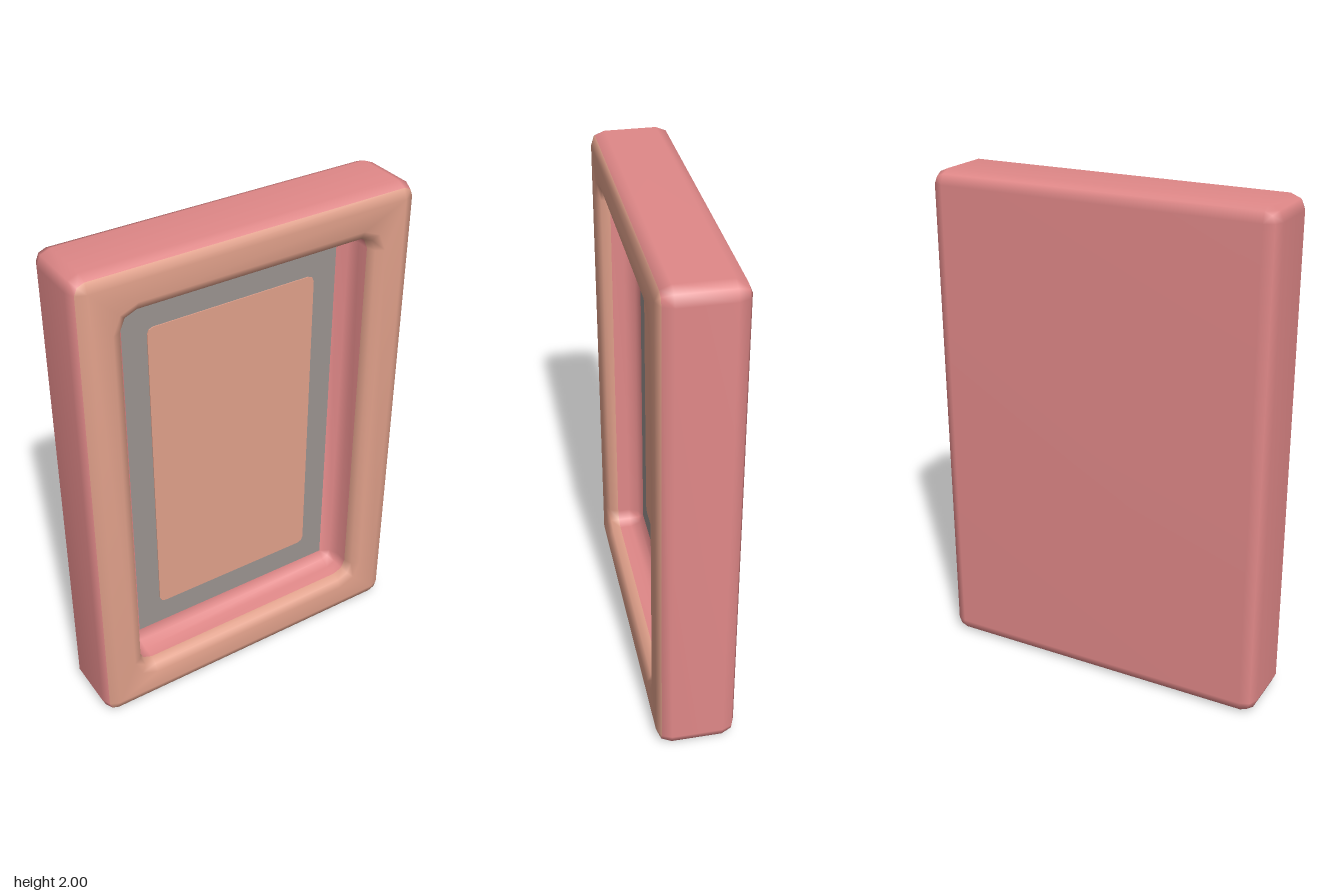
import * as THREE from 'three';
import { mergeVertices } from 'three/addons/utils/BufferGeometryUtils.js';

const W = 0.695, H = 1; // outer half width and half height

// Rounded rectangle outline, counter-clockwise, three points per corner
function outline(w, h, r) {
  const points = [];
  for (const [corner, sx, sy] of [[0, 1, 1], [1, -1, 1], [2, -1, -1], [3, 1, -1]]) {
    for (let k = 0; k < 3; k++) {
      const a = (corner + k / 2) * Math.PI / 2;
      points.push([sx * (w - r) + r * Math.cos(a), sy * (h - r) + r * Math.sin(a)]);
    }
  }
  return points;
}

// Joins outlines from back to front, then down into the recess.
// Each ring: [inset, z, corner radius, material of the band that follows]
function loftRings(rings) {
  const n = 12, position = [], index = [];
  const geometry = new THREE.BufferGeometry();
  rings.forEach(([inset, z, r, material], i) => {
    const flat = inset === null; // collapsed ring closing the back
    for (const [x, y] of outline(flat ? 0 : W - inset, flat ? 0 : H - inset, r)) position.push(x, y, z);
    if (i === rings.length - 1) return;
    geometry.addGroup(index.length, n * 6, material);
    for (let j = 0; j < n; j++) {
      const a = i * n + j, b = i * n + (j + 1) % n;
      index.push(a, b, b + n, a, b + n, a + n);
    }
  });
  geometry.setAttribute('position', new THREE.Float32BufferAttribute(position, 3));
  geometry.setIndex(index);
  const merged = mergeVertices(geometry, 1e-5);
  merged.computeVertexNormals();
  return merged;
}

export function createModel() {
  const rose = new THREE.MeshStandardMaterial({ name: 'rose', color: 0xe08888 });
  const peach = new THREE.MeshStandardMaterial({ name: 'peach', color: 0xe0a08a });
  const grey = new THREE.MeshStandardMaterial({ name: 'warm grey', color: 0x9b9390 });

  const model = new THREE.Group();
  model.name = 'recessedFrame';
  const add = (name, geometry, material, z) => {
    const mesh = new THREE.Mesh(geometry, material);
    mesh.name = name;
    mesh.position.set(0, H, z);
    model.add(mesh);
  };

  // Bevelled body with a peach front rim and a filleted recess
  add('frame', loftRings([
    [null, -0.155, 0, 0],
    [0.055, -0.155, 0, 0],
    [0.016, -0.139, 0.039, 0],
    [0, -0.1, 0.055, 0],
    [0, 0.1, 0.055, 0],
    [0.016, 0.139, 0.039, 1],
    [0.055, 0.155, 0, 1],
    [0.135, 0.155, 0.1, 1],
    [0.168, 0.139, 0.067, 1],
    [0.18, 0.105, 0.055, 0],
    [0.18, 0.055, 0.055, 0],
    [0.197, 0.016, 0.038, 0],
    [0.24, 0, 0, 0],
  ]), [rose, peach], 0);

  // Floor of the recess
  add('backPanel', new THREE.PlaneGeometry(2 * (W - 0.24), 2 * (H - 0.24)), grey, 0);

  // Thin inner plate with slightly rounded corners
  const shape = new THREE.Shape(outline(0.355, 0.652, 0.025).map(([x, y]) => new THREE.Vector2(x, y)));
  add('innerPlate', new THREE.ExtrudeGeometry(shape, { depth: 0.004, bevelEnabled: false }), peach, 0);

  return model;
}
